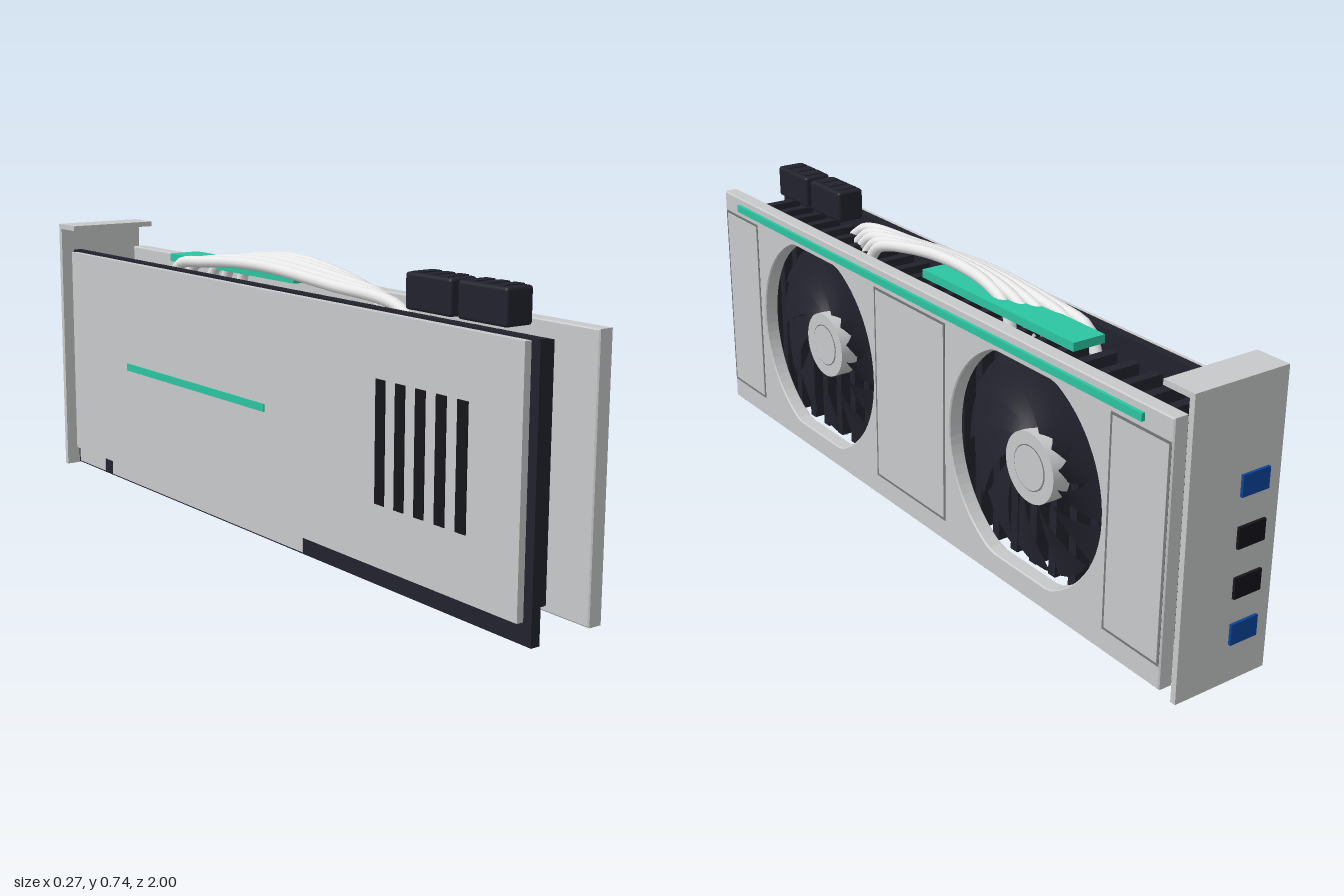
import * as THREE from 'three';
import { RoundedBoxGeometry } from 'three/addons/geometries/RoundedBoxGeometry.js';

const mat = (name, color, side = THREE.FrontSide) => {
  const m = new THREE.MeshStandardMaterial({ color, side });
  m.name = name;
  return m;
};

export function createModel() {
  const root = new THREE.Group();
  root.name = 'graphicsCard';
  const silver = mat('silver', 0xc8c9ca);
  const white = mat('white', 0xeeeeee);
  const dark = mat('darkNavy', 0x22222e, THREE.DoubleSide);
  const black = mat('black', 0x15151b);
  const groove = mat('grooveGrey', 0x77787a);
  const teal = mat('teal', 0x2cc4a2);
  const blue = mat('blue', 0x0b459a);

  const add = (name, geo, m, parent = root) => {
    const mesh = new THREE.Mesh(geo, m);
    mesh.name = name;
    parent.add(mesh);
    return mesh;
  };
  // box given by its limits on each axis
  const box = (name, m, x0, x1, y0, y1, z0, z1) => {
    const b = add(name, new THREE.BoxGeometry(x1 - x0, y1 - y0, z1 - z0), m);
    b.position.set((x0 + x1) / 2, (y0 + y1) / 2, (z0 + z1) / 2);
    return b;
  };

  const fanZ = [0.48, -0.44], fanY = 0.333;

  // shroud: plate with two round openings flattened at top and bottom
  const plate = new THREE.Shape();
  plate.moveTo(-0.975, 0.01).lineTo(0.935, 0.01).lineTo(0.935, 0.652).lineTo(-0.975, 0.652).closePath();
  const R = 0.29, flat = 0.268;
  for (const z of fanZ) {
    const pts = [];
    for (let i = 0; i < 72; i++) {
      const a = -i / 72 * Math.PI * 2;
      const v = THREE.MathUtils.clamp(R * Math.sin(a), -flat, flat);
      pts.push(new THREE.Vector2(-z + R * Math.cos(a), fanY + v));
    }
    plate.holes.push(new THREE.Path(pts));
  }
  const shroudGeo = new THREE.ExtrudeGeometry(plate, {
    depth: 0.034, bevelEnabled: true, bevelThickness: 0.003, bevelSize: 0.003, bevelSegments: 1,
  });
  shroudGeo.rotateY(Math.PI / 2).translate(0.088, 0, 0);
  add('shroud', shroudGeo, silver);

  // shroud panels with a thin dark joint around each
  for (const [z0, z1] of [[0.79, 0.974], [-0.135, 0.18], [-0.934, -0.745]]) {
    box('panelJoint', groove, 0.12, 0.1256, 0.065, 0.601, z0, z1);
    box('shroudPanel', silver, 0.12, 0.1264, 0.072, 0.594, z0 + 0.007, z1 - 0.007);
  }
  box('shroudAccentStrip', teal, 0.12, 0.134, 0.617, 0.636, -0.85, 0.89);

  // one curved, pitched fan blade in a plane facing +x
  const bladeCount = 11, nr = 8, nc = 4;
  const pitch = Math.PI * 2 / bladeCount;
  const pos = [], idx = [];
  for (let i = 0; i <= nr; i++) {
    const t = i / nr, r = 0.08 + 0.2 * t;
    for (let j = 0; j <= nc; j++) {
      const c = j / nc;
      const a = 1.05 * t - 0.35 * t * t + pitch * (0.75 + 0.4 * t) * (c - 0.5);
      const rr = r - (i === nr ? 0.02 * c : 0);
      pos.push(0.054 + 0.03 * c, rr * Math.sin(a), -rr * Math.cos(a));
      if (i < nr && j < nc) {
        const k = i * (nc + 1) + j;
        idx.push(k, k + 1, k + nc + 1, k + 1, k + nc + 2, k + nc + 1);
      }
    }
  }
  const bladeGeo = new THREE.BufferGeometry();
  bladeGeo.setAttribute('position', new THREE.Float32BufferAttribute(pos, 3));
  bladeGeo.setIndex(idx);
  bladeGeo.computeVertexNormals();

  // fans
  for (const z of fanZ) {
    const fan = new THREE.Group();
    fan.name = 'fan';
    fan.position.set(0, fanY, z);
    root.add(fan);
    for (let i = 0; i < bladeCount; i++) {
      add('fanBlade', bladeGeo, dark, fan).rotation.x = i * pitch;
    }
    const disc = (name, r, x0, x1, m) => {
      const d = add(name, new THREE.CylinderGeometry(r, r, x1 - x0, 40), m, fan);
      d.rotation.z = -Math.PI / 2;
      d.position.x = (x0 + x1) / 2;
    };
    disc('fanHub', 0.09, 0.05, 0.1, silver);
    disc('hubGroove', 0.058, 0.098, 0.1005, groove);
    disc('hubCap', 0.055, 0.098, 0.102, silver);
  }

  // heat sink fins
  for (let i = 0; i < 24; i++) {
    const z = -0.84 + i * 0.0745;
    box('heatSinkFin', dark, -0.055, 0.047, 0.04, 0.625, z - 0.013, z + 0.013);
  }
  // heat pipes standing between the fins
  for (let i = 0; i < 5; i++) {
    const p = add('heatPipe', new THREE.CapsuleGeometry(0.014, 0.32, 4, 12), white);
    p.position.set(-0.05, 0.415, -0.505 + i * 0.0745);
  }

  // circuit board and its edge contacts on both sides
  box('circuitBoard', dark, -0.105, -0.081, 0.01, 0.655, -0.96, 1.0);
  box('innerContacts', white, -0.082, -0.079, 0.014, 0.075, -0.74, 0.2);
  box('outerContacts', silver, -0.107, -0.104, 0.014, 0.075, -0.75, 0.2);
  box('outerContactTab', silver, -0.107, -0.104, 0.014, 0.075, -0.95, -0.795);

  // backplate with accent line and vents
  box('backplate', silver, -0.123, -0.105, 0.06, 0.65, -0.94, 0.975);
  box('backAccentLine', teal, -0.126, -0.122, 0.345, 0.365, -0.62, 0.06);
  for (let i = 0; i < 5; i++) {
    const z = 0.52 + i * 0.069;
    box('backplateVent', black, -0.125, -0.122, 0.21, 0.5, z - 0.017, z + 0.017);
  }

  // mounting bracket with top flange
  box('bracketPlate', silver, -0.135, 0.127, 0.002, 0.73, -0.993, -0.978);
  box('bracketFlange', silver, -0.135, 0.127, 0.716, 0.73, -0.979, -0.9);
  [[0.485, blue], [0.362, black], [0.24, black], [0.125, blue]].forEach(([y, m]) =>
    box('port', m, -0.098, -0.02, y - 0.026, y + 0.026, -1.0, -0.99));

  // power sockets
  for (const z of [0.605, 0.78]) {
    const s = add('powerSocket', new RoundedBoxGeometry(0.077, 0.085, 0.155, 2, 0.008), dark);
    s.position.set(-0.026, 0.697, z);
    for (let i = -1; i <= 1; i++) {
      box('socketRib', dark, -0.055, 0.003, 0.735, 0.742, z + i * 0.045 - 0.014, z + i * 0.045 + 0.014);
    }
  }

  // top cover block
  box('topBlock', teal, -0.02, 0.07, 0.655, 0.676, -0.55, 0.04);

  // arched cables: start x, start z, end x, end z, peak height
  const cables = [
    [-0.03, 0.52, -0.048, -0.49, 0.69],
    [-0.012, 0.47, -0.03, -0.44, 0.696],
    [0.004, 0.43, -0.01, -0.36, 0.702],
    [0.018, 0.38, 0.01, -0.32, 0.705],
    [0.03, 0.34, 0.029, -0.27, 0.708],
  ];
  for (const [x0, z0, x1, z1, h] of cables) {
    const at = (t, y) => new THREE.Vector3(x0 + (x1 - x0) * t, y, z0 + (z1 - z0) * t);
    const path = new THREE.CatmullRomCurve3([
      at(0, 0.615), at(0.06, 0.652), at(0.3, h - 0.018), at(0.6, h), at(0.85, h - 0.015), at(0.97, 0.655), at(1, 0.6),
    ]);
    add('cable', new THREE.TubeGeometry(path, 40, 0.015, 12), white);
  }
  return root;
}
